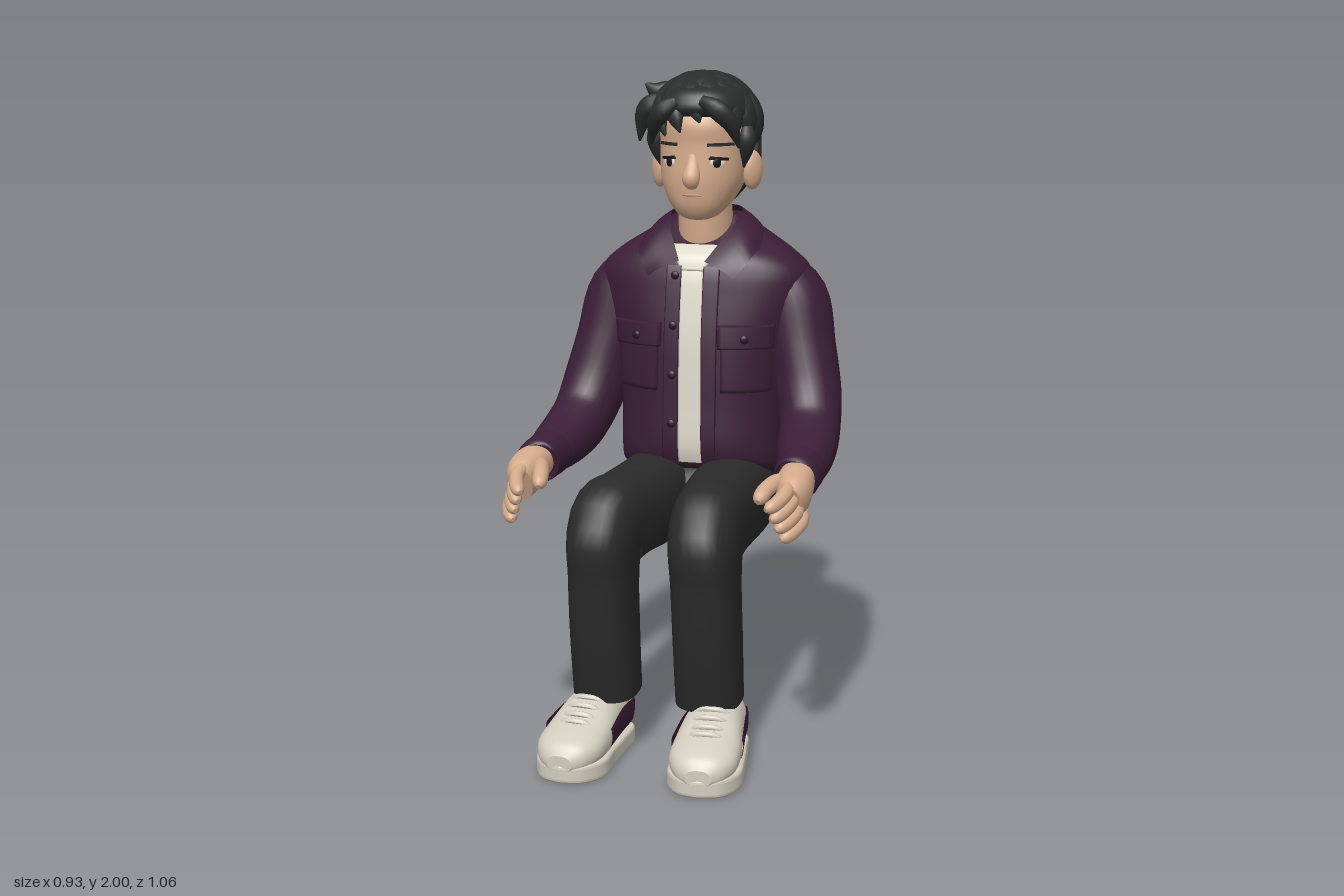
import * as THREE from 'three';

const V = (x, y, z) => new THREE.Vector3(x, y, z);
const X = V(1, 0, 0), Y = V(0, 1, 0), Z = V(0, 0, 1);
const mat = (name, color, side = THREE.FrontSide) => {
  const m = new THREE.MeshStandardMaterial({ color, side });
  m.name = name;
  return m;
};

// Smoothly subdivide rows of [x, y, z, radiusU, radiusV]
function dense(rows, k = 5) {
  const out = [], L = rows.length - 1;
  for (let i = 0; i < L; i++) for (let s = 0; s < k; s++) {
    const t = s / k, p = [rows[Math.max(i - 1, 0)], rows[i], rows[i + 1], rows[Math.min(i + 2, L)]];
    out.push(rows[i].map((_, c) => {
      const [a, b, d, e] = p.map(r => r[c]);
      return b + 0.5 * t * (d - a + t * (2 * a - 5 * b + 4 * d - e + t * (3 * (b - d) + e - a)));
    }));
  }
  out.push(rows[L]);
  return out;
}

// Skin over superellipse rings; rings follow the path unless dir is fixed
function loft(rows, { n = 2, seg = 28, k = 5, dir = null, ref = X, arc = null } = {}) {
  const d = dense(rows, k), pos = [], idx = [], cols = arc ? seg + 1 : seg;
  const pow = v => Math.sign(v) * Math.abs(v) ** (2 / n);
  const ctr = d.map(r => V(r[0], r[1], r[2]));
  d.forEach((r, i) => {
    const t = dir || ctr[Math.min(i + 1, d.length - 1)].clone().sub(ctr[Math.max(i - 1, 0)]).normalize();
    const u = ref.clone().addScaledVector(t, -ref.dot(t)).normalize(), v = t.clone().cross(u);
    for (let j = 0; j < cols; j++) {
      const a = arc ? arc[0] + (arc[1] - arc[0]) * j / seg : j / seg * Math.PI * 2;
      const p = ctr[i].clone().addScaledVector(u, r[3] * pow(Math.cos(a))).addScaledVector(v, r[4] * pow(Math.sin(a)));
      pos.push(p.x, p.y, p.z);
    }
  });
  for (let i = 0; i < d.length - 1; i++) for (let j = 0; j < seg; j++) {
    const a = i * cols + j, b = i * cols + (j + 1) % cols;
    idx.push(a, b, a + cols, b, b + cols, a + cols);
  }
  if (!arc) for (const i of [0, d.length - 1]) {
    const base = pos.length / 3;
    pos.push(...pos.slice(i * cols * 3, (i + 1) * cols * 3), ...ctr[i].toArray());
    for (let j = 0; j < seg; j++) {
      const q = [base + j, base + (j + 1) % seg];
      if (!i) q.reverse();
      idx.push(...q, base + seg);
    }
  }
  return mesh3(pos, idx);
}

function mesh3(pos, idx) {
  const g = new THREE.BufferGeometry();
  g.setAttribute('position', new THREE.Float32BufferAttribute(pos, 3));
  g.setIndex(idx);
  g.computeVertexNormals();
  return g;
}

// Grid of points from a function f(i, j)
function grid(nu, nv, f) {
  const pos = [], idx = [];
  for (let j = 0; j <= nv; j++) for (let i = 0; i <= nu; i++) pos.push(...f(i, j));
  for (let j = 0; j < nv; j++) for (let i = 0; i < nu; i++) {
    const a = j * (nu + 1) + i, c = a + nu + 1;
    idx.push(a, a + 1, c, a + 1, c + 1, c);
  }
  return mesh3(pos, idx);
}

function mirrored(geo) {
  const g = geo.clone().scale(-1, 1, 1);
  const src = g.index ? Array.from(g.index.array) : Array.from({ length: g.attributes.position.count }, (_, i) => i);
  for (let i = 0; i < src.length; i += 3) [src[i], src[i + 1]] = [src[i + 1], src[i]];
  g.setIndex(src);
  g.computeVertexNormals();
  return g;
}

// Bodies given as [height, front z, back z, half width]
const body = rows => rows.map(([y, f, b, w]) => [0, y, (f + b) / 2, w, (f - b) / 2]);
const frontOf = (rows, n) => {
  const d = dense(rows);
  return (x, y) => {
    let i = 0;
    while (i < d.length - 2 && d[i + 1][1] < y) i++;
    const t = THREE.MathUtils.clamp((y - d[i][1]) / (d[i + 1][1] - d[i][1]), 0, 1);
    const [, , cz, rx, rz] = d[i].map((v, c) => v + (d[i + 1][c] - v) * t);
    return cz + rz * Math.max(0, 1 - Math.abs(x / rx) ** n) ** (1 / n);
  };
};
// Thin four-cornered plate lying on a front surface: corners bl, br, tr, tl
function patch(surf, [bl, br, tr, tl], off, N = 12) {
  return grid(N + 2, N + 2, (i, j) => {
    const edge = i === 0 || j === 0 || i === N + 2 || j === N + 2;
    const u = THREE.MathUtils.clamp((i - 1) / N, 0, 1), v = THREE.MathUtils.clamp((j - 1) / N, 0, 1);
    const [x, y] = [0, 1].map(c => (bl[c] * (1 - u) + br[c] * u) * (1 - v) + (tl[c] * (1 - u) + tr[c] * u) * v);
    return [x, y, surf(x, y) + (edge ? -0.004 : off)];
  });
}
const ball = (x, y, z, a, b, c, ry = 0) => new THREE.SphereGeometry(1, 24, 16).scale(a, b, c).rotateY(ry).translate(x, y, z);

export function createModel() {
  const root = new THREE.Group();
  const skin = mat('skin', 0xd3a98a), hair = mat('hair', 0x2b2c2c), purple = mat('jacketPurple', 0x3b1e36, THREE.DoubleSide);
  const trim = mat('darkTrim', 0x2c1529), pants = mat('trousers', 0x2a2a2a), cream = mat('shirtCream', 0xded8ca);
  const shoe = mat('shoeCream', 0xd2cdbe), white = mat('eyeWhite', 0xe6e0d8), dark = mat('eyeDark', 0x191716), lip = mat('lip', 0xb88a72);
  const add = (name, geo, m, both = false) => {
    for (const g of both ? [geo, mirrored(geo)] : [geo]) {
      const o = new THREE.Mesh(g, m);
      o.name = both ? (g === geo ? 'left ' : 'right ') + name : name;
      root.add(o);
    }
  };

  // Jacket body
  const torso = body([[.585, -.31, -.36, .18], [.60, -.30, -.405, .225], [.68, -.285, -.452, .258], [.76, -.23, -.477, .262],
    [.82, -.118, -.487, .255], [1.0, -.115, -.505, .258], [1.2, -.127, -.514, .285], [1.33, -.148, -.515, .325], [1.40, -.162, -.508, .325],
    [1.45, -.182, -.492, .275], [1.49, -.24, -.468, .215], [1.53, -.29, -.45, .15], [1.56, -.32, -.44, .105]]);
  const chest = frontOf(torso, 2.4);
  add('jacket body', loft(torso, { n: 2.4, dir: Y, seg: 48 }), purple);

  // Shirt strip, front edges, pockets and buttons
  add('shirt front', patch(chest, [[-.03, .82], [.045, .82], [.035, 1.41], [-.035, 1.41]], .006), cream);
  add('shirt neck', patch(chest, [[-.035, 1.405], [.035, 1.405], [.08, 1.478], [-.08, 1.478]], .008), cream);
  add('right jacket edge', patch(chest, [[-.08, .815], [-.03, .815], [-.033, 1.42], [-.08, 1.42]], .009), purple);
  add('left jacket edge', patch(chest, [[.043, .815], [.085, .815], [.085, 1.42], [.035, 1.42]], .009), purple);
  add('pocket', patch(chest, [[.1, 1.04], [.238, 1.04], [.242, 1.2], [.098, 1.2]], .012), purple, true);
  add('pocket flap', patch(chest, [[.092, 1.175], [.246, 1.175], [.25, 1.245], [.09, 1.245]], .02), purple, true);
  add('pocket button', ball(.17, 1.205, chest(.17, 1.205) + .021, .013, .013, .006, .3), trim, true);
  for (const y of [.94, 1.09, 1.24, 1.39]) add('jacket button', ball(-.052, y, chest(-.052, y) + .01, .013, .013, .006), trim);

  // Folded collar
  const curve = pts => new THREE.CatmullRomCurve3(pts.map(p => V(...p)));
  const top = curve([[0, 1.58, -.44], [.075, 1.58, -.415], [.108, 1.572, -.35], [.10, 1.535, -.265], [.04, 1.435, -.15]]);
  const low = curve([[0, 1.51, -.478], [.10, 1.505, -.463], [.19, 1.49, -.37], [.178, 1.45, -.19], [.135, 1.385, -.14]]);
  add('collar', grid(20, 6, (i, j) => {
    const p = top.getPoint(i / 20).lerp(low.getPoint(i / 20), j / 6), b = Math.sin(j / 6 * Math.PI) * .01;
    return p.addScaledVector(V(p.x * 2, .25, (p.z + .34) * 2).normalize(), b).toArray();
  }), purple, true);

  // Sleeves and cuffs
  add('sleeve', loft([[.19, 1.375, -.35, .09, .115], [.27, 1.305, -.34, .11, .122], [.311, 1.16, -.31, .102, .118], [.342, 1.03, -.265, .1, .11],
    [.362, .94, -.195, .093, .097], [.375, .895, -.10, .09, .085], [.386, .872, 0, .08, .073], [.391, .862, .06, .067, .064]], { n: 2.1 }), purple, true);
  add('cuff', loft([[.391, .864, .045, .06, .06], [.391, .863, .052, .072, .07], [.393, .86, .10, .07, .069],
    [.396, .856, .14, .068, .068], [.396, .855, .147, .058, .058]], { k: 3 }), purple, true);

  // Hands
  add('palm', loft([[.398, .86, .12, .05, .048], [.403, .852, .18, .054, .056], [.408, .83, .235, .05, .064], [.405, .815, .272, .036, .054]], { n: 2.3 }), skin, true);
  const finger = (pts, r) => loft(pts.map((p, i) => [...p, ...Array(2).fill(r * [.9, 1, 1, .88, .35][i])]), { seg: 12, k: 4 });
  for (let i = 0; i < 4; i++) {
    const y = .866 - .031 * i, z = -.012 * i, x = .395 + .012 * i;
    add('finger', finger([[x, y, .245 + z], [x + .008, y - .013, .30 + z], [x - .006, y - .031, .348 + z], [x - .022, y - .041, .376 + z], [x - .032, y - .045, .388 + z]], .021), skin, true);
  }
  add('thumb', finger([[.38, .862, .18], [.355, .862, .23], [.338, .85, .28], [.33, .834, .315], [.328, .826, .33]], .024), skin, true);

  // Trousers: hips and bent legs
  add('hips', ball(0, .71, -.27, .22, .118, .168), pants);
  add('trouser leg', loft([[.11, .70, -.40, .08, .09], [.12, .695, -.30, .115, .134], [.123, .697, -.08, .119, .136], [.138, .70, .10, .112, .132],
    [.152, .682, .235, .104, .147], [.156, .56, .25, .098, .122], [.158, .38, .235, .098, .112], [.158, .188, .21, .098, .1]], { n: 2.6, seg: 32 }), pants, true);
  add('ankle', new THREE.CylinderGeometry(.06, .06, .12, 20).translate(.16, .16, .19), skin, true);

  // Shoes, shaped around their own centre and turned slightly outwards
  const place = g => g.rotateY(.08).translate(.19, 0, .313);
  const out = new THREE.Shape();
  out.moveTo(0, .207);
  out.splineThru([[.06, .188], [.097, .12], [.093, .02], [.08, -.1], [.067, -.18], [0, -.208], [-.067, -.18], [-.08, -.1], [-.088, .02], [-.097, .12], [-.06, .188], [0, .207]].map(p => new THREE.Vector2(...p)));
  const sole = new THREE.ExtrudeGeometry(out, { depth: .032, bevelSize: .01, bevelThickness: .012, bevelSegments: 3, curveSegments: 40 });
  add('shoe sole', place(sole.rotateX(Math.PI / 2).translate(0, .044, 0)), shoe, true);
  const upper = [[0, .09, -.213, .04, .045], [0, .105, -.203, .064, .075], [0, .11, -.15, .08, .086], [0, .11, -.06, .088, .092], [0, .102, 0, .094, .086],
    [0, .09, .07, .101, .068], [0, .08, .14, .098, .055], [0, .07, .19, .072, .044], [0, .06, .213, .038, .024]];
  add('shoe upper', place(loft(upper, { n: 2.3, dir: Z })), shoe, true);
  const side = upper.slice(1, 6).map(([x, y, z, a, b], i) => [x, y + .003 * i, z - .006, a + .005, b + .005]);
  for (const a of [0, Math.PI]) add('shoe side panel', place(loft(side, { n: 2.3, dir: Z, seg: 10, arc: [a - (a ? .3 : .4), a + (a ? .4 : .3)] })), purple, true);
  for (const [z, y] of [[-.005, .189], [.03, .175], [.065, .16], [.095, .149]])
    add('lace', place(new THREE.TubeGeometry(curve([[-.058, y - .025, z - .01], [-.03, y - .002, z], [0, y + .002, z + .004], [.03, y - .002, z], [.058, y - .025, z - .01]]), 14, .009, 8)), shoe, true);

  // Neck and head
  add('neck', loft([[0, 1.42, -.34, .086, .11], [0, 1.50, -.325, .085, .103], [0, 1.64, -.30, .08, .085]]), skin);
  const skull = body([[1.555, -.2, -.27, .03], [1.567, -.178, -.30, .058], [1.60, -.16, -.36, .09], [1.65, -.151, -.42, .117], [1.70, -.149, -.45, .129],
    [1.78, -.152, -.48, .134], [1.85, -.152, -.49, .134], [1.92, -.2, -.46, .11], [1.95, -.26, -.40, .05]]);
  const face = frontOf(skull, 2.3);
  add('head', loft(skull, { n: 2.3, dir: Y, seg: 40 }), skin);
  add('nose', loft([[0, 1.76, -.171, .02, .018], [0, 1.72, -.158, .023, .02], [0, 1.682, -.142, .027, .025], [0, 1.66, -.156, .016, .013]], { seg: 16 }), skin);
  add('mouth', ball(0, 1.634, face(0, 1.634) - .001, .032, .004, .003), lip);
  add('ear', ball(.147, 1.70, -.315, .024, .06, .038, -.55), skin, true);
  const turn = Math.atan2(face(.065, 1.73) - face(.085, 1.73), .02);
  const ez = face(.075, 1.732);
  add('eye', ball(.075, 1.732, ez, .024, .015, .004, turn), white, true);
  add('pupil', ball(.074, 1.732, ez + .003, .014, .015, .004, turn), dark, true);
  add('upper eyelid', patch(face, [[.05, 1.742], [.103, 1.738], [.102, 1.746], [.056, 1.751]], .006, 6), dark, true);
  add('eyebrow', patch(face, [[.046, 1.780], [.116, 1.781], [.112, 1.790], [.046, 1.790]], .004, 6), hair, true);

  // Hair: close cap with two layers of swept locks
  add('hair cap', loft(body([[1.60, -.36, -.41, .06], [1.64, -.34, -.455, .10], [1.70, -.345, -.495, .13], [1.76, -.33, -.51, .145], [1.80, -.27, -.515, .152],
    [1.84, -.21, -.51, .155], [1.88, -.145, -.50, .152], [1.92, -.15, -.48, .14], [1.95, -.18, -.455, .115], [1.97, -.25, -.40, .06]]), { n: 2.2, dir: Y, seg: 40 }), hair);
  let seed = 7;
  const rnd = () => (seed = seed * 16807 % 2147483647) / 2147483647 - .5;
  const tilt = d => d.applyAxisAngle(X, -.35);
  const taper = [.45, .9, 1, .95, .65, .08];
  const lock = (a, p0, p1, w, h, lift) => {
    const rows = taper.map((s, i) => {
      const t = i / 5, p = p0 + (p1 - p0) * t, b = a + .5 * (t - .6);
      const d = tilt(V(Math.sin(p) * Math.sin(b), Math.cos(p), Math.sin(p) * Math.cos(b)));
      return [-.007 + d.x * (.157 + lift), 1.82 + d.y * (.15 + lift), -.325 + d.z * (.18 + lift), w * s, h * s];
    });
    add('hair lock', loft(rows, { seg: 14, k: 4, ref: tilt(V(Math.cos(a), 0, -Math.sin(a))) }), hair);
  };
  // The fringe is short over the middle of the forehead and long at both temples
  for (let i = 0; i < 16; i++) {
    const a = i / 16 * Math.PI * 2 - Math.PI;
    lock(a, .45, 1.86 + rnd() * .2 + (Math.abs(a + .8) < .3 ? .12 : 0) - (Math.abs(a - .15) < .5 ? .2 : 0), .04, .03, 0);
  }
  for (let i = 0; i < 10; i++) lock(i / 10 * Math.PI * 2 + .2, .06, 1.3 + rnd() * .35, .05, .026, .005);
  const strand = (pts, w) => add('loose lock', loft(pts.map((p, i) => [...p, ...Array(2).fill(w * [.6, 1, .8, .1][i])]), { seg: 10, k: 4, ref: Z }), hair);
  strand([[-.06, 1.925, -.34], [-.11, 1.93, -.31], [-.15, 1.935, -.29], [-.182, 1.958, -.28]], .034);
  strand([[-.11, 1.91, -.26], [-.15, 1.895, -.245], [-.178, 1.86, -.245], [-.192, 1.785, -.25]], .034);
  strand([[-.05, 1.91, -.16], [-.09, 1.885, -.152], [-.12, 1.845, -.168], [-.14, 1.78, -.20]], .03);
  strand([[.03, 1.915, -.155], [.08, 1.89, -.148], [.118, 1.845, -.165], [.134, 1.775, -.195]], .03);
  for (const s of [-1, 1]) strand([[s * .14, 1.84, -.27], [s * .143, 1.80, -.26], [s * .138, 1.76, -.262], [s * .13, 1.71, -.272]], .028);
  // Nape locks
  for (let i = -3; i <= 3; i++) {
    const s = Math.sin(i * .42), c = Math.cos(i * .42);
    add('nape lock', loft([[s * .14, 1.80, -.34 - c * .165, .03, .02], [s * .138, 1.72, -.34 - c * .15, .036, .024], [s * .11, 1.66, -.34 - c * .11, .028, .018], [s * .08, 1.605, -.34 - c * .065, .004, .004]],
      { seg: 12, ref: V(c, 0, s) }), hair);
  }
  return root;
}
